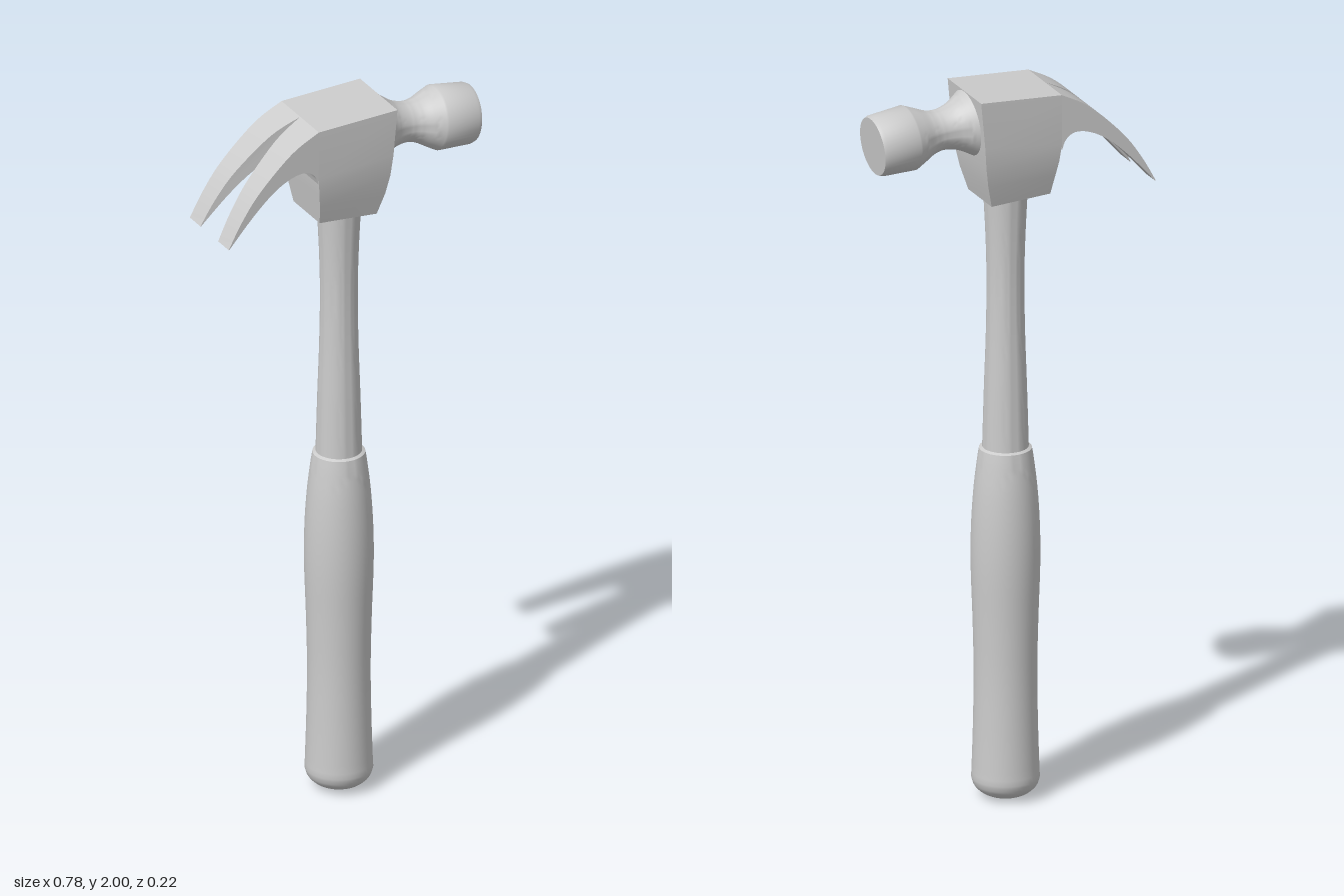
import * as THREE from 'three';
import { toCreasedNormals } from 'three/addons/utils/BufferGeometryUtils.js';

const material = new THREE.MeshStandardMaterial({ color: 0xcccccc, side: THREE.DoubleSide });
const v2 = (pts) => pts.map(([x, y]) => new THREE.Vector2(x, y));
const spline = (pts, n) => new THREE.SplineCurve(v2(pts)).getPoints(n);

function part(name, geometry, crease = 0.6) {
  const mesh = new THREE.Mesh(toCreasedNormals(geometry, crease), material);
  mesh.name = name;
  return mesh;
}

// Head block: four-cornered sections stacked upwards, tapering to the handle
function headBlock() {
  // [xLeft, yLeft, xRight, yRight, halfDepth]
  const rows = [
    [-0.1, 1.703, 0.07, 1.692, 0.074],
    [-0.108, 1.76, 0.087, 1.755, 0.09],
    [-0.114, 1.8, 0.097, 1.81, 0.1],
    [-0.12, 1.85, 0.103, 1.87, 0.106],
    [-0.119, 1.988, 0.115, 2.0, 0.106],
  ];
  const pos = [], idx = [];
  for (const [xl, yl, xr, yr, d] of rows)
    pos.push(xl, yl, d, xr, yr, d, xr, yr, -d, xl, yl, -d);
  for (let r = 0; r < rows.length - 1; r++)
    for (let i = 0; i < 4; i++) {
      const a = r * 4 + i, b = r * 4 + ((i + 1) % 4);
      idx.push(a, b, b + 4, a, b + 4, a + 4);
    }
  const t = (rows.length - 1) * 4;
  idx.push(0, 2, 1, 0, 3, 2, t, t + 1, t + 2, t, t + 2, t + 3);
  const g = new THREE.BufferGeometry();
  g.setAttribute('position', new THREE.Float32BufferAttribute(pos, 3));
  g.setIndex(idx);
  return g;
}

// One claw prong: curved side profile, its inner side slanted to form the V slot
function claw(side) {
  const upper = spline([[-0.119, 1.988], [-0.2, 1.943], [-0.295, 1.853], [-0.35, 1.778], [-0.39, 1.706]], 20);
  const lower = spline([[-0.388, 1.706], [-0.317, 1.785], [-0.253, 1.843], [-0.2, 1.872],
    [-0.158, 1.878], [-0.132, 1.862], [-0.12, 1.835]], 24);
  const g = new THREE.ExtrudeGeometry(new THREE.Shape([...upper, ...lower]),
    { depth: 1, bevelEnabled: false });
  g.translate(0, 0, side > 0 ? 0 : -1);
  const p = g.attributes.position;
  for (let i = 0; i < p.count; i++) {
    const t = (-0.12 - p.getX(i)) / 0.27;
    const inner = Math.max(0, 0.05 * t);
    const outer = 0.106 + 0.004 * Math.max(0, t);
    p.setZ(i, side * (Math.abs(p.getZ(i)) > 0.5 ? outer : inner));
  }
  return g;
}

export function createModel() {
  const model = new THREE.Group();

  // Handle
  const grip = [
    new THREE.Vector2(0, 0), ...spline([[0.03, 0.002], [0.06, 0.012], [0.083, 0.032], [0.091, 0.055]], 8),
    ...spline([[0.09, 0.07], [0.086, 0.2], [0.084, 0.35], [0.087, 0.5], [0.092, 0.65],
      [0.091, 0.76], [0.085, 0.86], [0.076, 0.94], [0.07, 0.98]], 32),
    new THREE.Vector2(0.06, 0.985),
  ];
  const shaft = spline([[0.062, 0.97], [0.057, 1.15], [0.052, 1.3], [0.05, 1.45], [0.053, 1.58], [0.06, 1.72]], 20);
  const handle = new THREE.Group();
  handle.name = 'handle';
  handle.add(part('grip', new THREE.LatheGeometry(grip, 48)),
    part('shaft', new THREE.LatheGeometry(shaft, 48)));
  handle.position.x = -0.004;
  model.add(handle);

  // Head with the split claw
  const head = new THREE.Group();
  head.name = 'head';
  head.add(part('headBlock', headBlock(), 0.4),
    part('leftClaw', claw(1)), part('rightClaw', claw(-1)));

  // Neck and striking face, turned about a slightly drooping axis
  const poll = [
    ...spline([[0.089, 0.008], [0.076, 0.028], [0.062, 0.055], [0.055, 0.09], [0.06, 0.12], [0.074, 0.15], [0.088, 0.18]], 24),
    ...v2([[0.083, 0.272], [0.079, 0.282], [0, 0.282]]),
  ];
  const face = part('strikingFace', new THREE.LatheGeometry(poll, 48));
  face.position.set(0.1, 1.911, 0);
  face.rotation.z = -Math.PI / 2 - 0.09;
  head.add(face);
  model.add(head);
  return model;
}
